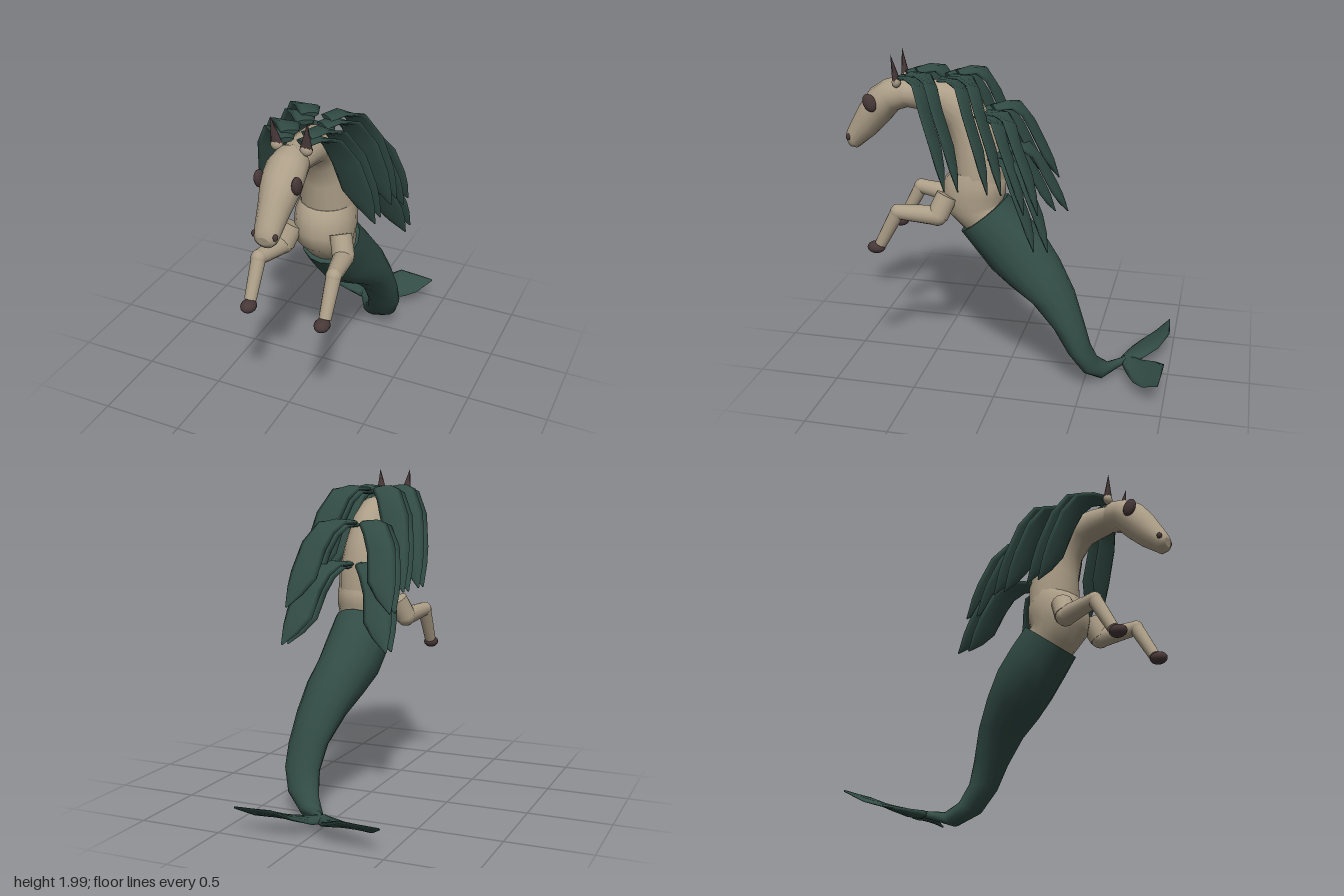
import * as THREE from 'three';

const V = (x, y, z) => new THREE.Vector3(x, y, z);
const CX = 0.115; // middle plane of the body

const mat = (name, color) => {
  const m = new THREE.MeshStandardMaterial({ color });
  m.name = name;
  return m;
};

// Skin over elliptical rings { c: centre, u, v: half axes }, closed at both ends.
function loft(rings, sides = 16) {
  const pos = [], idx = [];
  const first = rings[0], n = rings.length;
  const dir = rings[1].c.clone().sub(first.c);
  const flip = first.u.clone().cross(first.v).dot(dir) < 0;
  const tri = (a, b, c) => (flip ? idx.push(a, c, b) : idx.push(a, b, c));
  for (const { c, u, v } of rings) {
    for (let j = 0; j < sides; j++) {
      const a = (j / sides) * Math.PI * 2;
      const p = c.clone().addScaledVector(u, Math.cos(a)).addScaledVector(v, Math.sin(a));
      pos.push(p.x, p.y, p.z);
    }
  }
  for (let i = 0; i < n - 1; i++) {
    for (let j = 0; j < sides; j++) {
      const k = (j + 1) % sides, a = i * sides, b = a + sides;
      tri(a + j, a + k, b + k);
      tri(a + j, b + k, b + j);
    }
  }
  // end caps with their own vertices, so the rims stay sharp
  for (const [r, last] of [[0, false], [n - 1, true]]) {
    const base = pos.length / 3;
    for (let j = 0; j < sides; j++) pos.push(...pos.slice((r * sides + j) * 3, (r * sides + j) * 3 + 3));
    pos.push(...rings[r].c.toArray());
    for (let j = 0; j < sides; j++) {
      const k = (j + 1) % sides;
      if (last) tri(base + j, base + k, base + sides);
      else tri(base + k, base + j, base + sides);
    }
  }
  const g = new THREE.BufferGeometry();
  g.setAttribute('position', new THREE.Float32BufferAttribute(pos, 3));
  g.setIndex(idx);
  g.computeVertexNormals();
  return g;
}

// Rings from side outlines: front edge y,z, back edge y,z, half width, centre x.
const outline = (rows) => rows.map(([y1, z1, y2, z2, w, x = CX]) => ({
  c: V(x, (y1 + y2) / 2, (z1 + z2) / 2),
  u: V(w, 0, 0),
  v: V(0, (y2 - y1) / 2, (z2 - z1) / 2),
}));

export function createModel() {
  const group = new THREE.Group();
  const beige = mat('beige coat', 0xad9f88);
  const green = mat('dark green', 0x324c45);
  const brown = mat('dark brown', 0x483838);

  const add = (name, geo, material, parent = group) => {
    const m = new THREE.Mesh(geo, material);
    m.name = name;
    parent.add(m);
    return m;
  };
  const ball = (name, material, p, s, parent) => {
    const m = add(name, new THREE.SphereGeometry(1, 14, 10), material, parent);
    m.position.copy(p);
    m.scale.set(...s);
    return m;
  };
  // tapered limb between two points
  const limb = (name, a, b, ra, rb, parent) => {
    const m = add(name, new THREE.CylinderGeometry(rb, ra, a.distanceTo(b), 14), beige, parent);
    m.position.copy(a).lerp(b, 0.5);
    m.quaternion.setFromUnitVectors(V(0, 1, 0), b.clone().sub(a).normalize());
  };

  // Head, neck and torso
  add('head', loft(outline([
    [1.43, 0.978, 1.48, 0.99, 0.035], [1.405, 0.96, 1.51, 0.985, 0.058],
    [1.40, 0.925, 1.55, 0.965, 0.07], [1.49, 0.81, 1.67, 0.90, 0.088],
    [1.58, 0.72, 1.77, 0.83, 0.113], [1.65, 0.66, 1.83, 0.74, 0.115],
    [1.67, 0.60, 1.855, 0.65, 0.10], [1.69, 0.55, 1.84, 0.60, 0.07],
  ])), beige);
  add('neck', loft(outline([
    [1.68, 0.65, 1.83, 0.66, 0.085], [1.66, 0.50, 1.85, 0.50, 0.10],
    [1.65, 0.43, 1.83, 0.30, 0.11], [1.57, 0.36, 1.74, 0.16, 0.12],
    [1.45, 0.33, 1.58, 0.07, 0.14], [1.32, 0.33, 1.40, 0.02, 0.165],
    [1.20, 0.30, 1.20, 0.02, 0.165],
  ])), beige);
  add('torso', loft(outline([
    [1.31, 0.33, 1.34, 0.05, 0.16], [1.26, 0.38, 1.25, 0.01, 0.182],
    [1.16, 0.40, 1.18, 0.01, 0.185], [1.07, 0.38, 1.13, 0.03, 0.175],
    [0.98, 0.29, 1.12, 0.02, 0.165], [0.90, 0.21, 1.07, -0.04, 0.155],
  ])), beige);

  // Fish tail, swinging to one side
  add('tail', loft(outline([
    [0.93, 0.28, 1.16, 0.00, 0.18], [0.82, 0.19, 1.05, -0.10, 0.19],
    [0.70, 0.09, 0.93, -0.22, 0.185, 0.125], [0.62, -0.03, 0.78, -0.33, 0.175, 0.16],
    [0.54, -0.17, 0.60, -0.43, 0.15, 0.195], [0.40, -0.31, 0.41, -0.50, 0.122, 0.232],
    [0.25, -0.40, 0.28, -0.54, 0.11, 0.24], [0.10, -0.50, 0.17, -0.58, 0.10, 0.20],
    [0.01, -0.60, 0.10, -0.63, 0.075, 0.11], [0.04, -0.68, 0.10, -0.69, 0.045, 0.04],
    [0.06, -0.74, 0.10, -0.74, 0.03, -0.01],
  ])), green);

  // Flukes: outward distance and z of the front edge, then of the back edge
  const flukeRows = [
    [0.00, -0.70, -0.02, -0.76], [0.10, -0.725, 0.02, -0.84], [0.19, -0.76, 0.085, -0.925],
    [0.29, -0.81, 0.20, -0.985], [0.36, -0.87, 0.31, -0.98], [0.44, -0.965, 0.435, -0.97],
  ];
  for (const s of [1, -1]) {
    // level near the root, curling up towards the tip
    const at = (d, z) => V(-0.025 + s * d, 0.075 + 2.4 * Math.max(0, -0.78 - z) ** 2, z);
    add(s > 0 ? 'leftFluke' : 'rightFluke', loft(flukeRows.map(([d1, z1, d2, z2], i) => {
      const a = at(d1, z1), b = at(d2, z2);
      return { c: a.clone().add(b).multiplyScalar(0.5), u: b.sub(a).multiplyScalar(0.5), v: V(0, 0.026 - i * 0.004, 0) };
    }), 10), green);
  }

  // Mane lock: leaf-shaped blade; outward distance, drop, distance back, half width
  const lockRows = [
    [0.05, 0.01, 0.00, 0.05], [0.10, 0.00, 0.08, 0.07], [0.16, 0.04, 0.14, 0.08],
    [0.22, 0.17, 0.19, 0.09], [0.255, 0.37, 0.26, 0.092], [0.295, 0.48, 0.295, 0.06],
    [0.34, 0.60, 0.33, 0.005],
  ];
  const lock = (s, y, z, fall, reach) => {
    const pts = lockRows.map(([d, h, b]) => V(CX + s * d, y - h * fall, z - b * reach));
    return loft(pts.map((c, i) => {
      const t = pts[Math.min(i + 1, pts.length - 1)].clone().sub(pts[Math.max(i - 1, 0)]).normalize();
      const v = V(1, 0, 0).cross(t).normalize();
      const u = t.cross(v).multiplyScalar(lockRows[i][3]);
      return { c, u, v: v.multiplyScalar(i === pts.length - 1 ? 0.003 : 0.016) };
    }), 8);
  };
  const mane = new THREE.Group();
  mane.name = 'mane';
  group.add(mane);
  // four tufts down the neck, two layers each, mirrored
  for (const [y, z, fall] of [[1.87, 0.62, 0.98], [1.87, 0.37, 0.98], [1.67, 0.16, 0.82], [1.42, 0.10, 0.77]]) {
    for (const s of [1, -1]) {
      add('maneLock', lock(s, y, z, fall, 1), green, mane);
      add('maneLock', lock(s, y + 0.02, z - 0.06, fall * 1.03, 1.06), green, mane);
    }
  }

  // Paired features and forelegs
  for (const s of [1, -1]) {
    const side = new THREE.Group();
    side.name = s > 0 ? 'leftSide' : 'rightSide';
    group.add(side);
    const at = (d, y, z) => V(CX + s * d, y, z);

    ball('eye', brown, at(0.108, 1.71, 0.80), [0.025, 0.056, 0.04], side).rotation.x = 0.4;
    ball('nostril', brown, at(0.06, 1.48, 0.962), [0.016, 0.02, 0.016], side);

    const ear = add('ear', new THREE.ConeGeometry(0.036, 0.16, 8), brown, side);
    ear.position.copy(at(0.095, 1.925, 0.65));
    ear.rotation.set(0.14, 0, -s * 0.12);
    ear.scale.z = 0.6;
    ball('earBase', beige, at(0.085, 1.84, 0.638), [0.036, 0.035, 0.026], side);

    const shoulder = at(0.15, 1.19, 0.33), elbow = at(0.19, 1.075, 0.38);
    const knee = at(0.232, 1.095, 0.61), ankle = at(0.232, 0.88, 0.725);
    limb('upperArm', shoulder, elbow, 0.065, 0.066, side);
    ball('elbow', beige, elbow, [0.062, 0.062, 0.062], side);
    limb('forearm', elbow, knee, 0.06, 0.045, side);
    ball('knee', beige, knee, [0.046, 0.046, 0.046], side);
    limb('shank', knee, ankle, 0.044, 0.036, side);
    ball('hoof', brown, at(0.228, 0.855, 0.755), [0.046, 0.037, 0.055], side);
  }

  return group;
}
